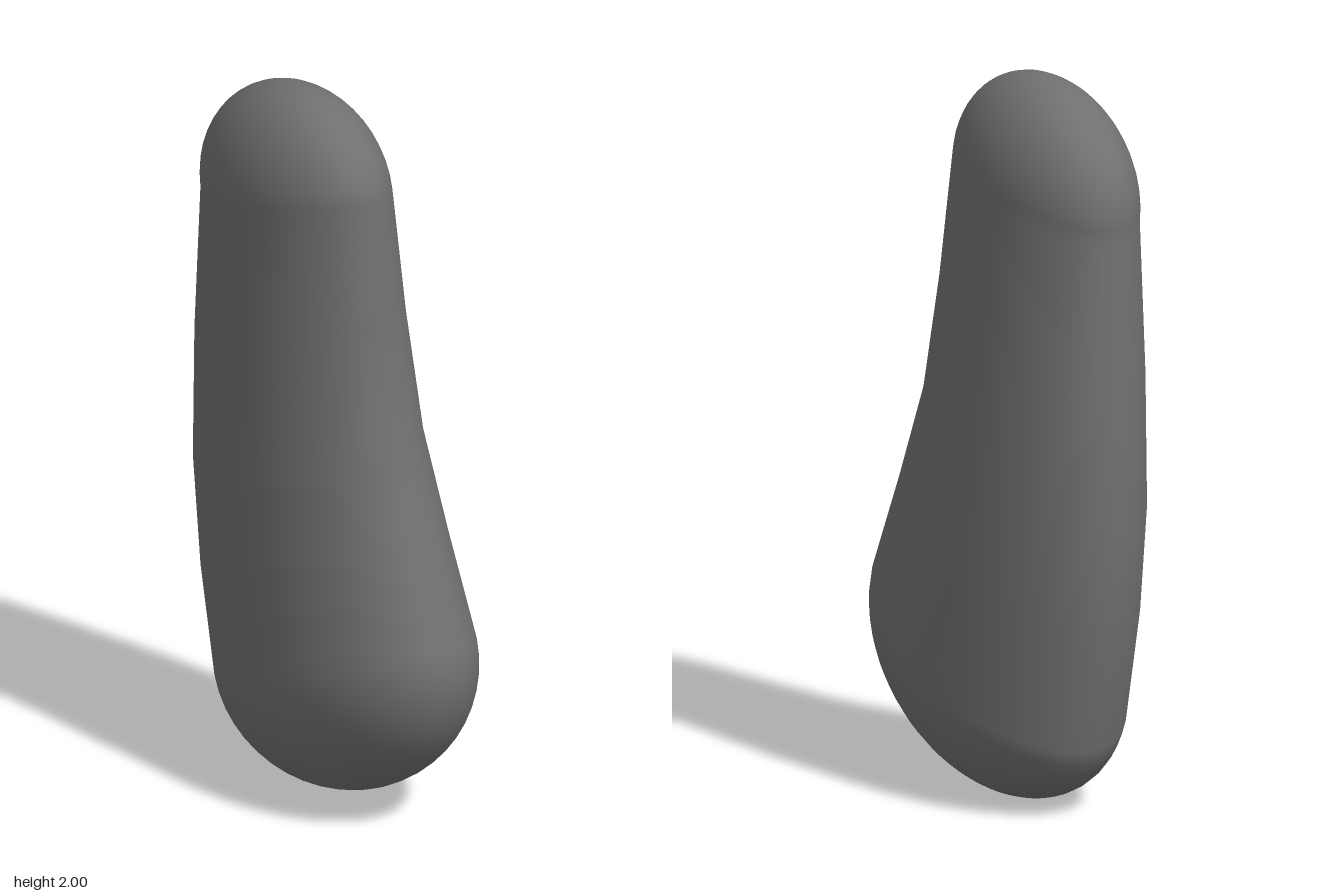
import * as THREE from 'three';

const SEG = 48;   // points around each ring
const DOME = 12;  // steps along each rounded end

// Tilted elliptical sections, bottom to top:
// front point (z, y), back point (z, y), left and right edge in x
const sections = [
  { front: [0.53, 0.57], back: [-0.44, 0.2], x: [-0.285, 0.285] },
  { front: [0.41, 0.85], back: [-0.505, 0.5], x: [-0.279, 0.259] },
  { front: [0.31, 1.11], back: [-0.54, 0.81], x: [-0.27, 0.231] },
  { front: [0.26, 1.44], back: [-0.53, 1.19], x: [-0.259, 0.195] },
  { front: [0.23, 1.78], back: [-0.495, 1.62], x: [-0.249, 0.158] },
].map(({ front, back, x }) => {
  const centre = new THREE.Vector3((x[0] + x[1]) / 2, (front[1] + back[1]) / 2, (front[0] + back[0]) / 2);
  const long = new THREE.Vector3(0, (front[1] - back[1]) / 2, (front[0] - back[0]) / 2);
  const up = new THREE.Vector3(0, long.z, -long.y).normalize();
  return { centre, long, up, half: (x[1] - x[0]) / 2 };
});

// A ring of a section, lifted along its normal and shrunk
function ring(s, lift = 0, scale = 1) {
  const points = [];
  for (let i = 0; i < SEG; i++) {
    const t = (i / SEG) * Math.PI * 2;
    const p = s.centre.clone().addScaledVector(s.long, Math.cos(t) * scale).addScaledVector(s.up, lift);
    p.x += Math.sin(t) * s.half * scale;
    points.push(p);
  }
  return points;
}

// Half-ellipsoid rings from the rim towards the pole
function dome(s, height) {
  const rings = [];
  for (let k = 1; k < DOME; k++) {
    const a = (k / DOME) * Math.PI / 2;
    rings.push(ring(s, height * Math.sin(a), Math.cos(a)));
  }
  return rings;
}

function bodyGeometry() {
  const first = sections[0], last = sections[sections.length - 1];
  const bottom = -0.361, top = 0.297;
  const rings = [...dome(first, bottom).reverse(), ...sections.map((s) => ring(s)), ...dome(last, top)];
  const points = rings.flat();
  const low = points.push(first.centre.clone().addScaledVector(first.up, bottom)) - 1;
  const high = points.push(last.centre.clone().addScaledVector(last.up, top)) - 1;

  const index = [];
  const end = (rings.length - 1) * SEG;
  for (let i = 0; i < SEG; i++) {
    const j = (i + 1) % SEG;
    for (let r = 0; r < end; r += SEG) {
      index.push(r + i, r + j, r + SEG + j, r + i, r + SEG + j, r + SEG + i);
    }
    // Close both poles
    index.push(low, j, i, high, end + i, end + j);
  }
  const geometry = new THREE.BufferGeometry().setFromPoints(points);
  geometry.setIndex(index);
  geometry.computeVertexNormals();
  return geometry;
}

export function createModel() {
  const group = new THREE.Group();
  const body = new THREE.Mesh(bodyGeometry(), new THREE.MeshStandardMaterial({ color: 0x707070 }));
  body.name = 'roundedBody';
  group.add(body);
  return group;
}
